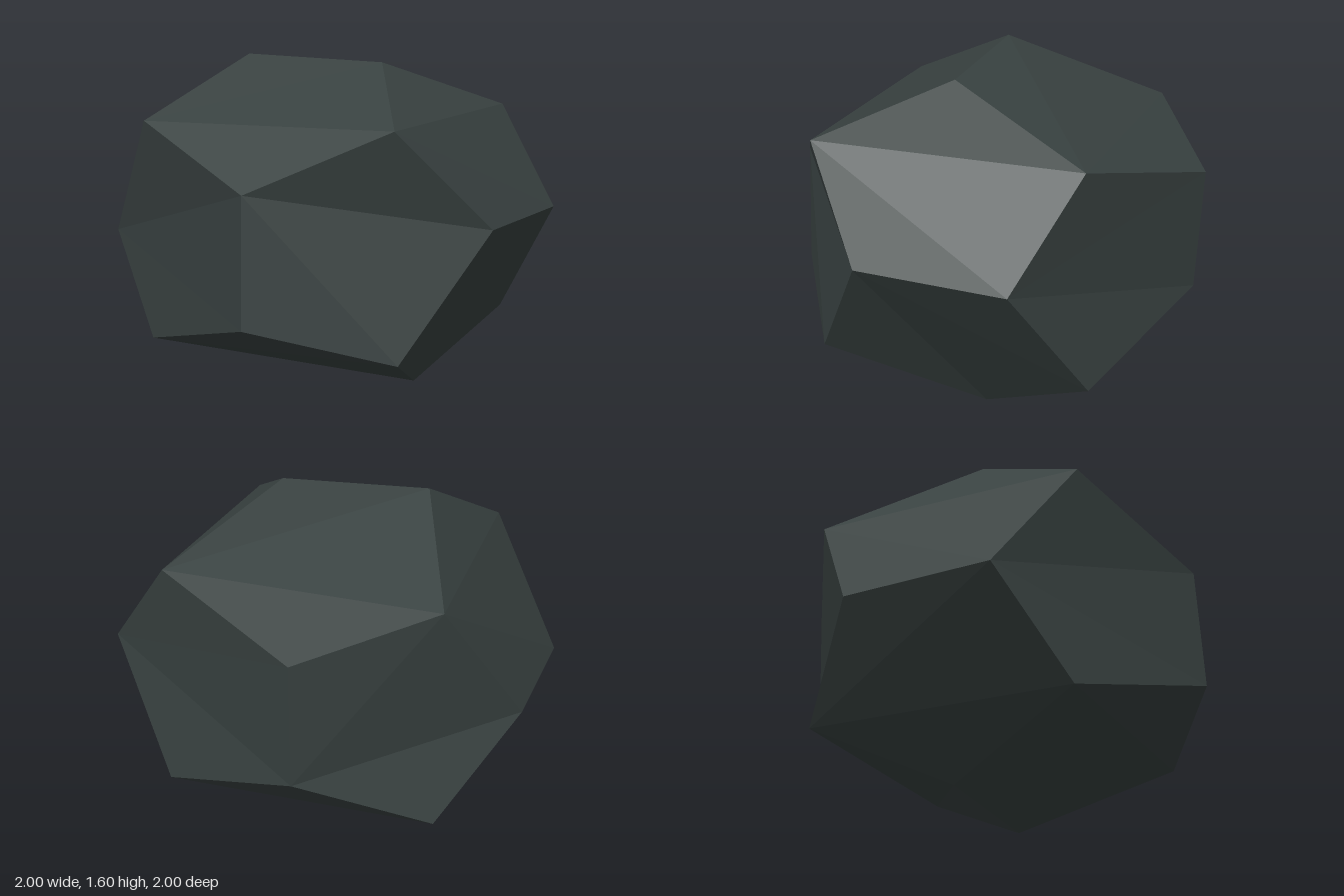
import * as THREE from 'three';

// One corner of each opposite pair, keyed by the signs of its x, y and z,
// measured from the middle of the rock. The other corner is mirrored through the middle.
const CORNERS = {
  '0,1,1': [0.09, 0.26, 0.975],
  '0,-1,1': [0.095, -0.33, 1.0],
  '-1,1,0': [-0.41, 0.8, 0.095],
  '1,1,0': [0.315, 0.78, 0.09],
  '1,0,1': [0.975, 0.08, 0.315],
  '1,0,-1': [0.998, 0.078, -0.413],
  '1,1,1': [0.658, 0.533, 0.66],
  '-1,1,1': [-0.632, 0.513, 0.672],
  '1,-1,1': [0.672, -0.5, 0.638],
  '1,1,-1': [0.635, 0.54, -0.635],
};
const CENTRE_Y = 0.8;

const sign = (v) => (Math.abs(v) < 0.1 ? 0 : v > 0 ? 1 : -1);

function cornerFor(x, y, z) {
  const s = [sign(x), sign(y), sign(z)];
  const own = CORNERS[s.join(',')];
  if (own) return own;
  return CORNERS[s.map((v) => (v === 0 ? 0 : -v)).join(',')].map((v) => -v);
}

export function createModel() {
  const group = new THREE.Group();
  group.name = 'rock';

  const darkStone = new THREE.MeshStandardMaterial({ color: 0x384140, flatShading: true });
  darkStone.name = 'dark stone';

  // Squashed, uneven twelve-sided boulder
  const geometry = new THREE.DodecahedronGeometry(1, 0);
  const pos = geometry.attributes.position;
  for (let i = 0; i < pos.count; i++) {
    const [x, y, z] = cornerFor(pos.getX(i), pos.getY(i), pos.getZ(i));
    pos.setXYZ(i, x, y + CENTRE_Y, z);
  }
  geometry.computeVertexNormals();

  const boulder = new THREE.Mesh(geometry, darkStone);
  boulder.name = 'boulder';
  group.add(boulder);
  return group;
}
